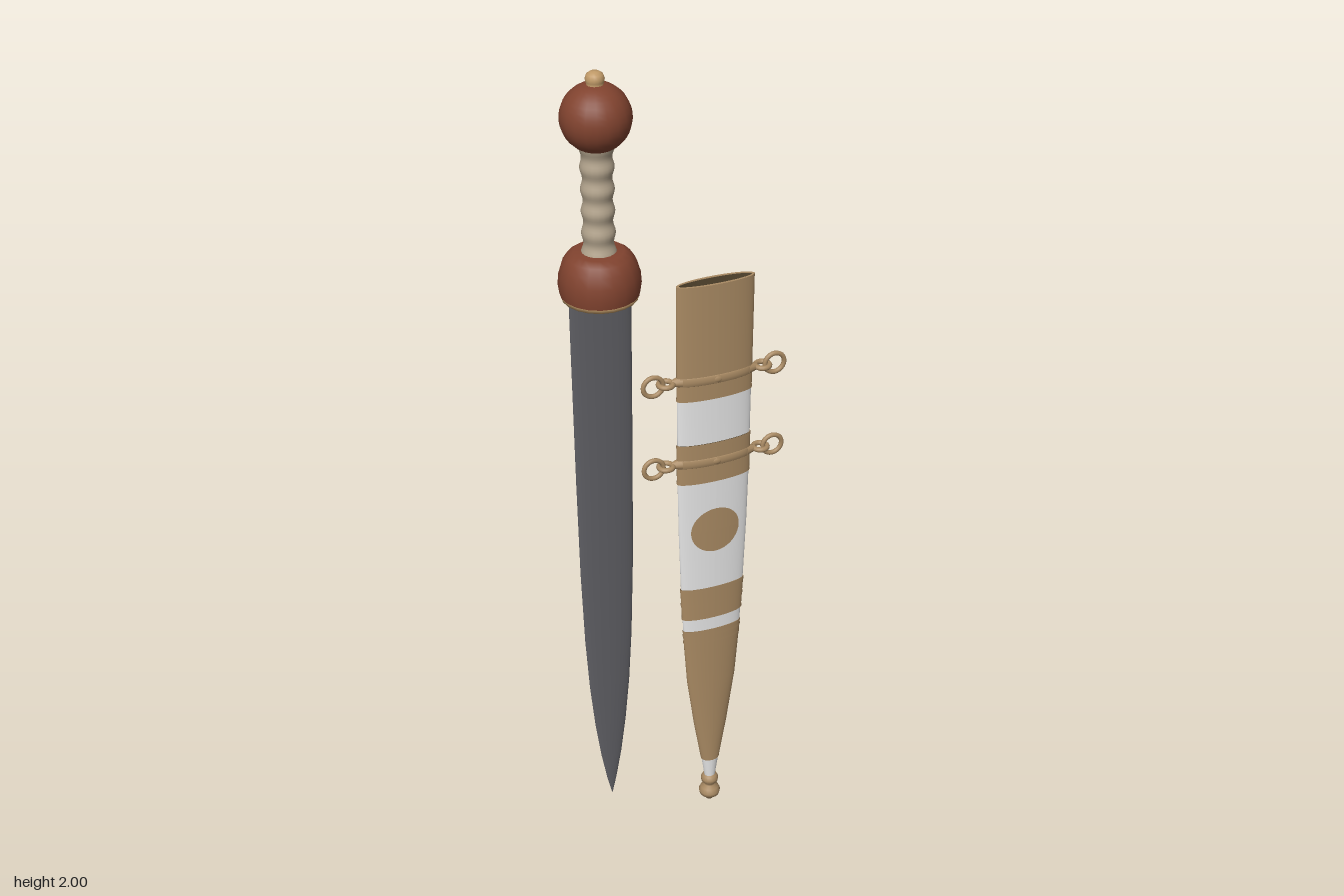
import * as THREE from 'three';

const mat = (name, color, side = THREE.FrontSide) => {
  const m = new THREE.MeshStandardMaterial({ color, side });
  m.name = name;
  return m;
};

export function createModel() {
  const brass = mat('brass', 0xa98a63, THREE.DoubleSide);
  const brightBrass = mat('bright brass', 0xc09a68);
  const silver = mat('pale silver', 0xe6e6e6);
  const wood = mat('red wood', 0x81432f);
  const bone = mat('bone', 0xb3a48d);
  const steel = mat('dark steel', 0x5e5e63);
  const lining = mat('dark lining', 0x54462f, THREE.DoubleSide);

  const model = new THREE.Group();
  const sword = new THREE.Group();
  sword.name = 'sword';
  sword.position.x = -0.176;
  const scabbard = new THREE.Group();
  scabbard.name = 'scabbard';
  scabbard.position.x = 0.087;
  model.add(sword, scabbard);

  const add = (parent, name, geo, material, x = 0, y = 0, z = 0) => {
    const mesh = new THREE.Mesh(geo, material);
    mesh.name = name;
    mesh.position.set(x, y, z);
    parent.add(mesh);
    return mesh;
  };
  const lathe = (pts, seg) => new THREE.LatheGeometry(pts.map(([r, y]) => new THREE.Vector2(r, y)), seg);

  // Piecewise linear lookup of [halfWidth, halfDepth] in a [y, halfWidth, halfDepth] table
  const sample = (table, y) => {
    let i = 0;
    while (i < table.length - 2 && y > table[i + 1][0]) i++;
    const [a, b] = [table[i], table[i + 1]];
    const t = THREE.MathUtils.clamp((y - a[0]) / (b[0] - a[0]), 0, 1);
    return [1, 2].map(k => THREE.MathUtils.lerp(a[k], b[k], t));
  };
  // Flattened lathe that follows a table between two heights, grown by an offset
  const flatLoft = (table, y0, y1, grow = 0) => {
    const ys = [y0, ...table.map(r => r[0]).filter(y => y > y0 + 1e-4 && y < y1 - 1e-4), y1];
    const geo = lathe(ys.map(y => [sample(table, y)[0] + grow, y]), 48);
    const p = geo.attributes.position;
    for (let i = 0; i < p.count; i++) {
      const [w, d] = sample(table, p.getY(i));
      p.setZ(i, p.getZ(i) * (d + grow) / (w + grow));
    }
    geo.computeVertexNormals();
    return geo;
  };

  // Blade
  const bladeTable = [
    [0.11, 0.001, 0.001], [0.16, 0.012, 0.004], [0.24, 0.026, 0.006], [0.34, 0.039, 0.008], [0.46, 0.05, 0.009],
    [0.6, 0.058, 0.01], [0.8, 0.064, 0.011], [1.05, 0.067, 0.012], [1.51, 0.07, 0.012],
  ];
  add(sword, 'blade', flatLoft(bladeTable, 0.11, 1.51), steel);

  // Hilt
  add(sword, 'guardPlate', lathe([[0, 1.505], [0.082, 1.505], [0.082, 1.515], [0, 1.515]], 20), brightBrass);
  add(sword, 'guard', lathe([[0, 1.514], [0.085, 1.514], [0.085, 1.514], [0.088, 1.535], [0.086, 1.56],
    [0.079, 1.583], [0.068, 1.6], [0.053, 1.61], [0, 1.612]], 20), wood);
  const gripPts = [];
  for (let i = 0; i <= 40; i++) {
    const t = i / 40;
    gripPts.push([0.033 + 0.0025 * Math.cos(t * Math.PI * 10) + 0.003 * (2 * t - 1) ** 4, 1.605 + 0.24 * t]);
  }
  add(sword, 'grip', lathe(gripPts, 20), bone);
  const pommelPts = [[0, 1.838], [0.034, 1.838]];
  for (let i = 0; i <= 14; i++) {
    const a = -1.05 + i * 2.3 / 14;
    pommelPts.push([0.074 * Math.cos(a), 1.904 + 0.072 * Math.sin(a)]);
  }
  pommelPts.push([0, 1.975]);
  add(sword, 'pommel', lathe(pommelPts, 20), wood);
  add(sword, 'pommelKnob', lathe([[0.023, 1.962], [0.017, 1.972], [0.019, 1.979], [0.02, 1.986],
    [0.017, 1.994], [0.01, 1.999], [0, 2]], 16), brightBrass);

  // Scabbard body as stacked colour bands
  const body = [
    [0.07, 0.012, 0.012], [0.14, 0.022, 0.015], [0.26, 0.042, 0.016], [0.4, 0.061, 0.017], [0.56, 0.073, 0.017],
    [0.68, 0.079, 0.017], [0.85, 0.085, 0.018], [1.0, 0.088, 0.018], [1.2, 0.089, 0.018], [1.49, 0.09, 0.019],
  ];
  const bands = [
    ['tipSleeve', 0.07, 0.14, silver], ['lowerCasing', 0.14, 0.56, brass], ['narrowPanel', 0.56, 0.595, silver],
    ['middleBand', 0.595, 0.685, brass], ['mainPanel', 0.685, 0.985, silver], ['lowerRingBand', 0.985, 1.09, brass],
    ['upperPanel', 1.09, 1.205, silver], ['throatCasing', 1.205, 1.49, brass],
  ];
  for (const [name, y0, y1, m] of bands) {
    add(scabbard, name, flatLoft(body, y0, y1, m === brass ? 0.0015 : 0), m);
  }

  // Open mouth: rim, lining and its floor
  const mouth = new THREE.Shape().absellipse(0, 0, 0.0915, 0.0205, 0, Math.PI * 2);
  mouth.holes.push(new THREE.Path().absellipse(0, 0, 0.085, 0.0145, 0, Math.PI * 2));
  add(scabbard, 'mouthRim', new THREE.ShapeGeometry(mouth, 24).rotateX(-Math.PI / 2), brass, 0, 1.49);
  add(scabbard, 'lining', flatLoft(body, 1.0, 1.489, -0.0045), lining);
  const floor = add(scabbard, 'liningFloor', new THREE.CircleGeometry(1, 32).rotateX(-Math.PI / 2), lining, 0, 1.0);
  floor.scale.set(0.084, 1, 0.0138);

  // Thin raised trim lines
  for (const y of [0.525, 0.545, 0.6, 0.64, 0.68, 0.99, 1.085, 1.21]) {
    add(scabbard, 'trimLine', flatLoft(body, y - 0.003, y + 0.003, 0.0025), brass);
  }

  // Round medallions hugging the front and back
  for (const s of [1, -1]) {
    const geo = new THREE.RingGeometry(0.0001, 0.06, 36, 8);
    const p = geo.attributes.position;
    for (let i = 0; i < p.count; i++) {
      const [w, d] = sample(body, p.getY(i) + 0.85);
      p.setZ(i, d * Math.sqrt(1 - (p.getX(i) / w) ** 2) + 0.0015);
    }
    geo.computeVertexNormals();
    add(scabbard, 'medallion', geo, brass, 0, 0.85).rotation.y = s > 0 ? 0 : Math.PI;
  }

  // Suspension straps, each with lugs and hanging rings on both sides
  for (const y of [1.255, 1.04]) {
    const [w, d] = sample(body, y);
    const strap = new THREE.Group();
    strap.name = 'suspensionStrap';
    strap.position.y = y;
    scabbard.add(strap);
    const profile = [[0, -0.011], [0.0025, -0.009], [0.004, 0], [0.0025, 0.009], [0, 0.011]];
    const band = lathe(profile.map(([g, h]) => [w + g, h]), 48);
    const p = band.attributes.position;
    for (let i = 0; i < p.count; i++) {
      const r = Math.hypot(p.getX(i), p.getZ(i));
      p.setZ(i, p.getZ(i) / r * (d + r - w + 0.001));
    }
    band.computeVertexNormals();
    add(strap, 'strapBand', band, brass);
    for (const s of [1, -1]) {
      const boss = add(strap, 'strapBoss', new THREE.SphereGeometry(1, 16, 10), brass, 0, 0, s * 0.019);
      boss.scale.set(0.014, 0.009, 0.005);
      const neck = add(strap, 'lugNeck', new THREE.CylinderGeometry(0.007, 0.014, 0.022, 12), brass, s * 0.091);
      neck.rotation.z = -s * Math.PI / 2;
      add(strap, 'lugRing', new THREE.TorusGeometry(0.016, 0.0062, 10, 20).rotateX(Math.PI / 2), brass, s * 0.116);
      add(strap, 'hangingRing', new THREE.TorusGeometry(0.0235, 0.0055, 10, 24), brass, s * 0.1455);
    }
  }

  // Finial at the tip
  add(scabbard, 'finial', lathe([[0, 0], [0.009, 0.003], [0.014, 0.012], [0.025, 0.021], [0.027, 0.031],
    [0.022, 0.042], [0.014, 0.05], [0.014, 0.056], [0.021, 0.063], [0.022, 0.072], [0.018, 0.08], [0.012, 0.084]], 20), brass);

  return model;
}
